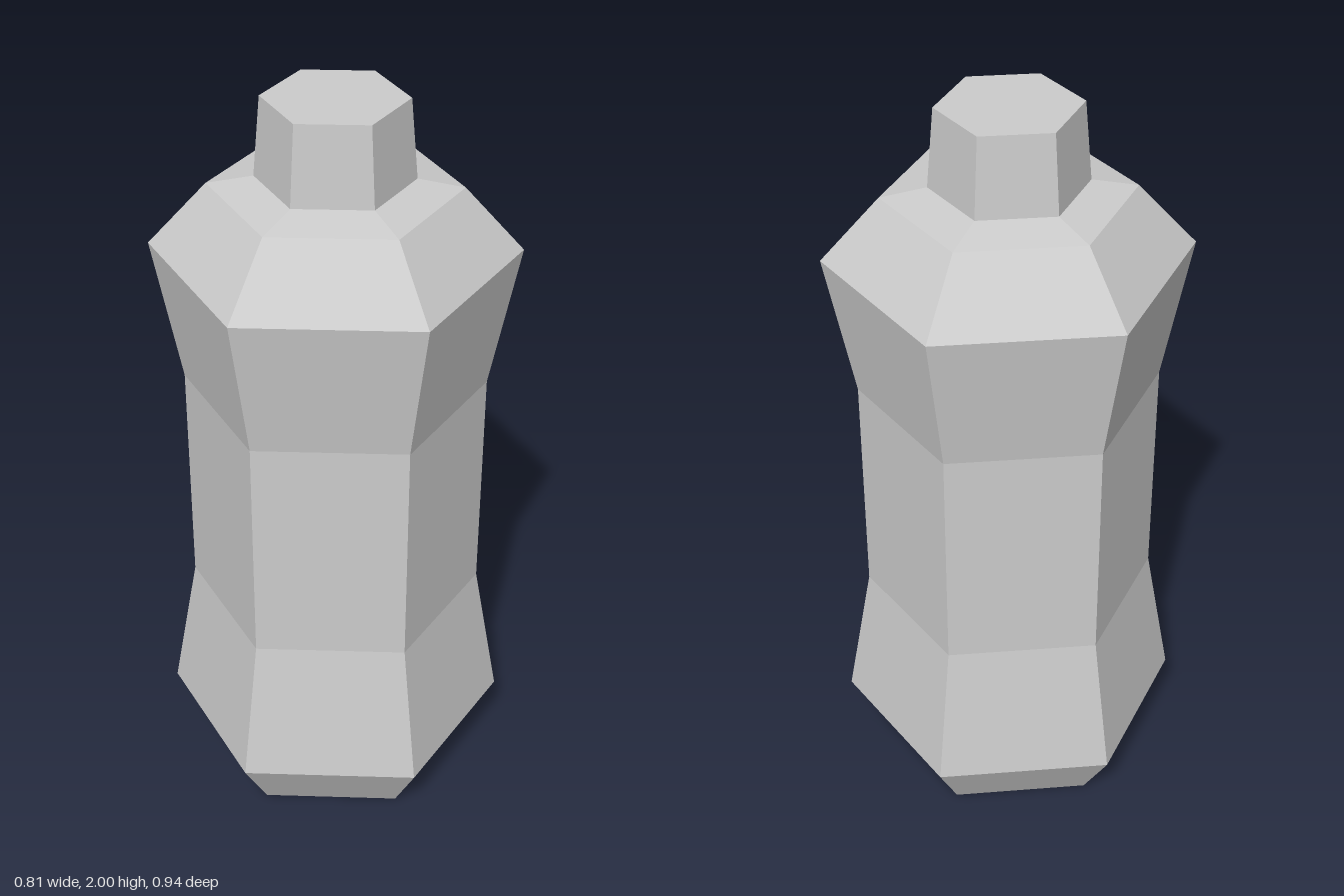
import * as THREE from 'three';

const SIDES = 6;

// Hexagonal turned part from [radius, height] pairs, listed bottom to top; corners point along z
function turned(name, profile, material) {
  const points = profile.map(([r, y]) => new THREE.Vector2(r, y));
  const mesh = new THREE.Mesh(new THREE.LatheGeometry(points, SIDES), material);
  mesh.name = name;
  return mesh;
}

export function createModel() {
  const group = new THREE.Group();
  group.name = 'bottle';
  const material = new THREE.MeshStandardMaterial({ color: 0xcccccc, flatShading: true });

  // Body: closed base, flared foot, narrow waist, wide shoulder and sloping top
  group.add(turned('body', [
    [0, 0], [0.365, 0], [0.465, 0.17], [0.395, 0.57],
    [0.395, 1.21], [0.469, 1.6], [0.318, 1.768], [0.2, 1.79],
  ], material));

  // Cap: slightly tapered, closed on top
  group.add(turned('cap', [[0.2, 1.79], [0.182, 2], [0, 2]], material));

  return group;
}
